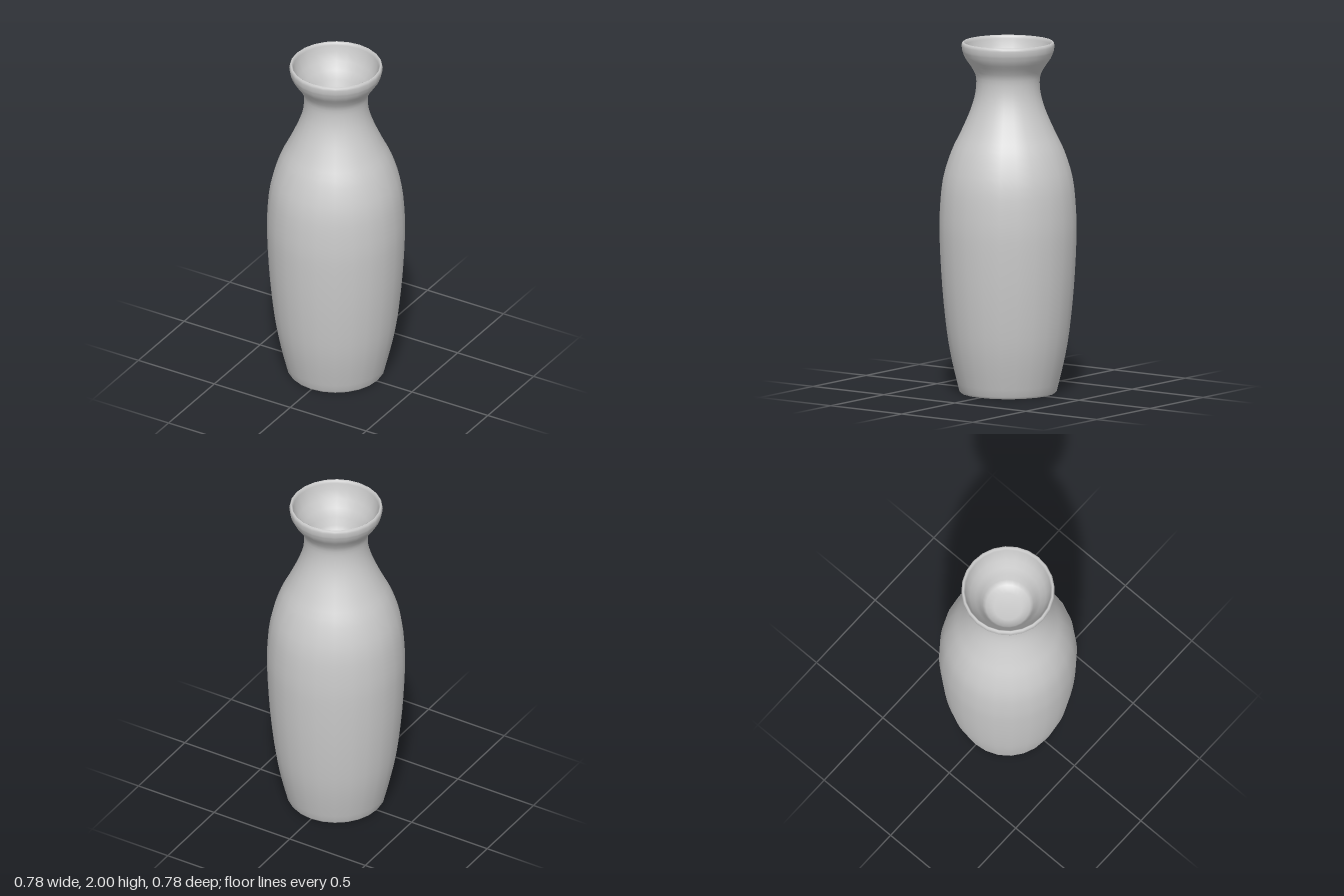
import * as THREE from 'three';

const SIDES = 24;
const toPoints = (pairs) => pairs.map(([r, y]) => new THREE.Vector2(r, y));
const smooth = (pairs, n) => new THREE.SplineCurve(toPoints(pairs)).getPoints(n);

export function createModel() {
  const group = new THREE.Group();
  group.name = 'bottleVase';
  const material = new THREE.MeshStandardMaterial({ color: 0xcccccc });

  const addLathe = (name, points) => {
    const mesh = new THREE.Mesh(new THREE.LatheGeometry(points, SIDES), material);
    mesh.name = name;
    group.add(mesh);
  };

  // Outer wall from the foot up to the shoulder, neck and flared mouth
  const wall = smooth([
    [0.277, 0.012], [0.318, 0.18], [0.348, 0.35], [0.374, 0.6], [0.388, 0.85],
    [0.388, 1.02], [0.37, 1.21], [0.322, 1.37], [0.265, 1.49], [0.213, 1.61],
    [0.185, 1.71], [0.182, 1.8], [0.205, 1.855], [0.243, 1.91], [0.261, 1.955],
  ], 42);

  // Rounded lip turning into the funnel-shaped inside of the neck
  const mouth = toPoints([
    [0.264, 1.98], [0.261, 1.993], [0.254, 2], [0.247, 1.995], [0.242, 1.98],
    [0.235, 1.945], [0.215, 1.895], [0.185, 1.85], [0.16, 1.805],
    [0.145, 1.76], [0.125, 1.725], [0.08, 1.71], [0, 1.71],
  ]);
  addLathe('body', [new THREE.Vector2(0.268, 0), ...wall, ...mouth]);

  // Flat underside
  addLathe('base', toPoints([[0, 0], [0.268, 0]]));

  return group;
}
